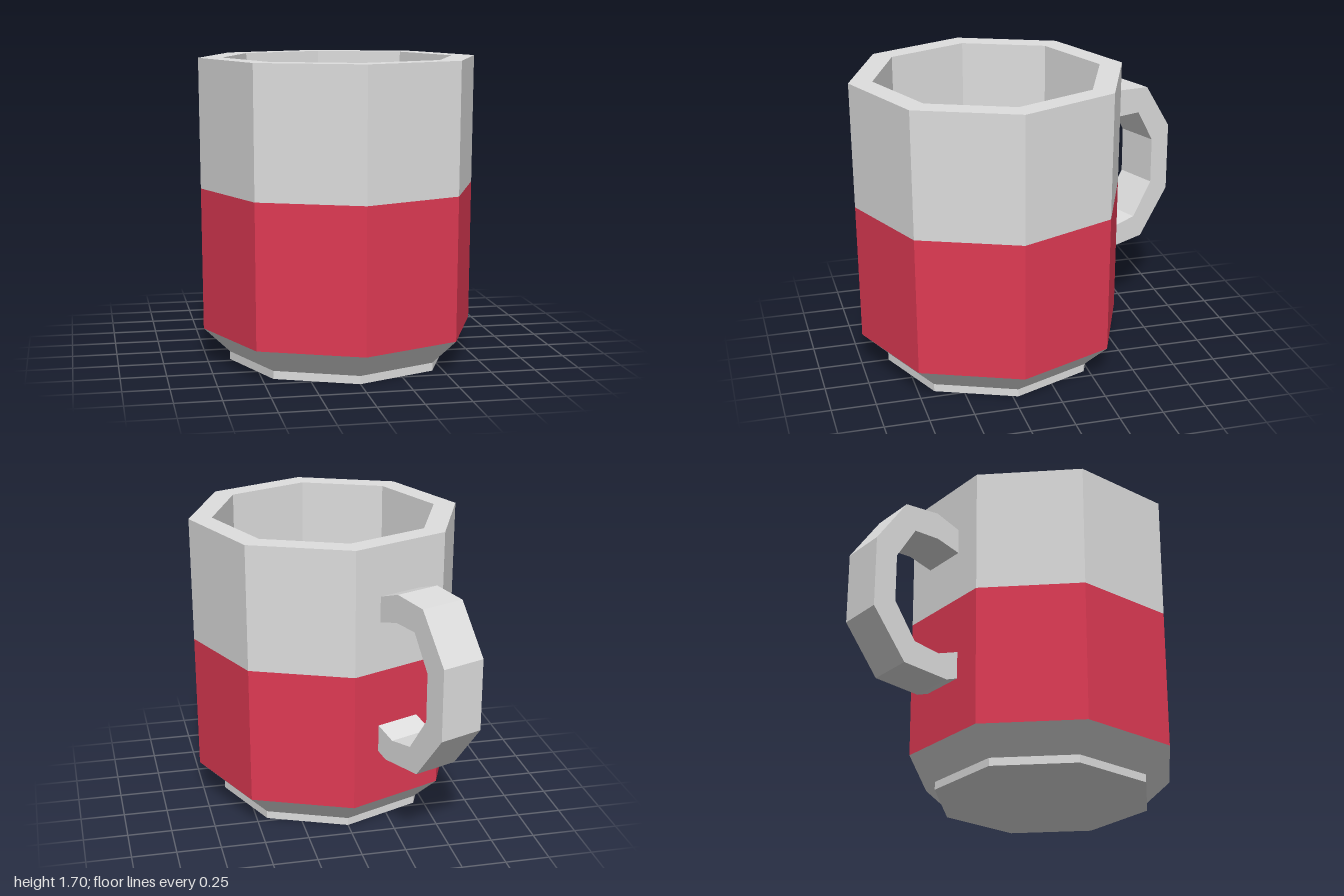
import * as THREE from 'three';

const SIDES = 8;
const CENTRE_Z = 0.22;

const material = (name, color) => {
  const m = new THREE.MeshStandardMaterial({ color });
  m.name = name;
  return m;
};

export function createModel() {
  const ceramic = material('ceramic grey', 0xdedede);
  const glaze = material('red glaze', 0xe03a54);
  const coffeeBrown = material('coffee brown', 0x4e3911);

  const mug = new THREE.Group();
  mug.name = 'mug';
  mug.position.z = CENTRE_Z;

  // Faceted mesh with one normal per face
  const add = (name, geometry, mat) => {
    const flat = geometry.index ? geometry.toNonIndexed() : geometry;
    flat.computeVertexNormals();
    const mesh = new THREE.Mesh(flat, mat);
    mesh.name = name;
    mug.add(mesh);
    return mesh;
  };

  // Eight-sided turned part from [radius, height] pairs
  const turned = (name, profile, mat) =>
    add(name, new THREE.LatheGeometry(profile.map(([r, y]) => new THREE.Vector2(r, y)), SIDES), mat);

  // Foot and the bevel above it
  turned('foot', [[0, 0], [0.623, 0], [0.623, 0.045], [0.77, 0.185]], ceramic);

  // Coloured lower half of the wall
  turned('lowerWall', [[0.77, 0.185], [0.775, 0.98]], glaze);

  // Upper wall, flat rim and inner wall
  turned('upperWall', [[0.775, 0.98], [0.78, 1.7], [0.648, 1.7], [0.648, 1.2]], ceramic);

  // Drink surface
  turned('coffee', [[0.648, 1.237], [0, 1.237]], coffeeBrown);

  // Handle: C-shaped outline (distance from mug axis, height) given a thickness
  const outline = [
    [0.7, 1.408], [0.867, 1.467], [1.078, 1.448], [1.263, 1.173],
    [1.263, 0.765], [1.059, 0.495], [0.783, 0.473], [0.7, 0.503],
    [0.7, 0.66], [0.84, 0.61], [0.997, 0.635], [1.13, 0.834],
    [1.13, 1.107], [1.014, 1.303], [0.859, 1.307], [0.7, 1.263],
  ].map(([r, y]) => new THREE.Vector2(r, y));
  const width = 0.265;
  const handle = new THREE.ExtrudeGeometry(new THREE.Shape(outline), { depth: width, bevelEnabled: false });
  handle.translate(0, 0, -width / 2);
  // Points out of the back face just to the right of centre
  handle.rotateY(THREE.MathUtils.degToRad(112.5));
  add('handle', handle, ceramic);

  const model = new THREE.Group();
  model.name = 'mugModel';
  model.add(mug);
  return model;
}
